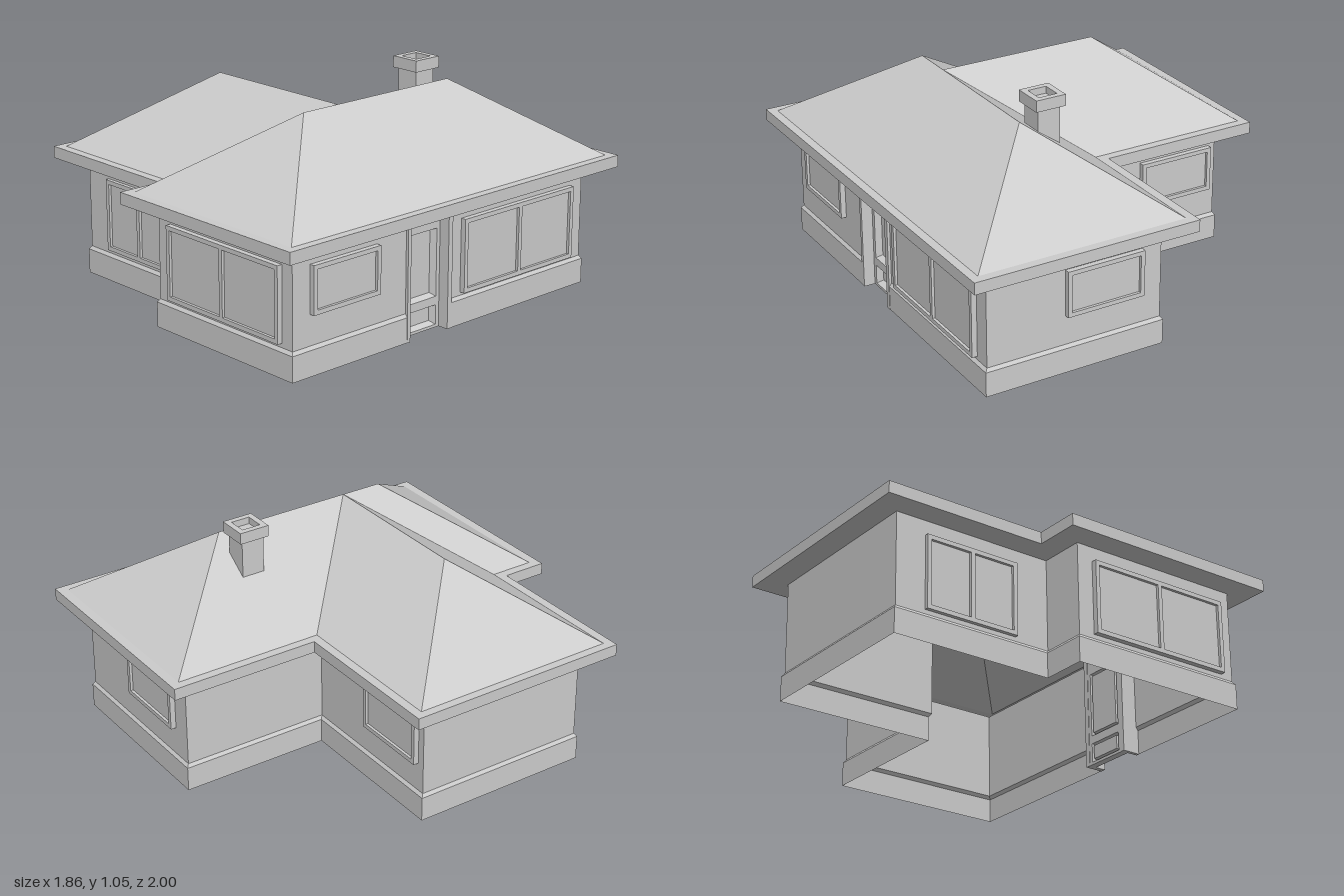
import * as THREE from 'three';

const plaster = new THREE.MeshStandardMaterial({ color: 0xcccccc, side: THREE.DoubleSide });
plaster.name = 'pale grey';

function add(parent, name, geometry, x = 0, y = 0, z = 0) {
  const mesh = new THREE.Mesh(geometry, plaster);
  mesh.name = name;
  mesh.position.set(x, y, z);
  parent.add(mesh);
  return mesh;
}

// Flat-sided geometry from polygons, each fanned from its first corner
function polygons(faces) {
  const pos = [];
  for (const f of faces)
    for (let i = 1; i < f.length - 1; i++) pos.push(...f[0], ...f[i], ...f[i + 1]);
  const g = new THREE.BufferGeometry();
  g.setAttribute('position', new THREE.Float32BufferAttribute(pos, 3));
  g.computeVertexNormals();
  return g;
}

// Skin between successive rings of points
function loft(rings, closed) {
  const faces = [];
  for (let r = 0; r < rings.length - 1; r++) {
    const a = rings[r], b = rings[r + 1], n = a.length;
    for (let i = 0; i < (closed ? n : n - 1); i++) {
      const j = (i + 1) % n;
      faces.push([a[i], a[j], b[j], b[i]]);
    }
  }
  return polygons(faces);
}

// T-shaped plan, inset by d from the eaves edge
function plan(d, y) {
  const e = 0.925 - d, w = -0.93 + d, m = -0.155 + d, z = 1 - d, n = -0.29 + d, s = 0.787 - d;
  return [[e, -z], [m, -z], [m, n], [w, n], [w, s], [m, s], [m, z], [e, z]].map(([x, q]) => [x, y, q]);
}

// The same plan as an open path, interrupted by the doorway
function wallPath(d, y) {
  const e = 0.925 - d;
  return [[e, y, -0.03], ...plan(d, y), [e, y, 0.24]];
}

function rectPoints(x0, x1, y0, y1, z = 0) {
  return [[x0, y0, z], [x1, y0, z], [x1, y1, z], [x0, y1, z]];
}

// Rectangular panel with rectangular openings
function framePanel(outer, holes, depth) {
  const points = r => rectPoints(...r).map(p => new THREE.Vector2(p[0], p[1]));
  const shape = new THREE.Shape(points(outer));
  for (const h of holes) shape.holes.push(new THREE.Path(points(h)));
  return new THREE.ExtrudeGeometry(shape, { depth, bevelEnabled: false });
}

function addWindow(parent, name, x, z, turn, w, y0, y1, panes) {
  const g = new THREE.Group();
  g.name = name;
  g.position.set(x, 0, z);
  g.rotation.y = turn;
  const t = 0.02, pw = (w - t * (panes + 1)) / panes, holes = [];
  for (let i = 0; i < panes; i++) {
    const left = -w / 2 + t + i * (pw + t);
    holes.push([left, left + pw, y0 + t, y1 - t]);
    add(g, 'pane', new THREE.BoxGeometry(pw, y1 - y0 - 2 * t, 0.008), left + pw / 2, (y0 + y1) / 2, 0.008);
  }
  add(g, 'windowFrame', framePanel([-w / 2, w / 2, y0, y1], holes, 0.025));
  parent.add(g);
}

function addDoor(parent) {
  const g = new THREE.Group();
  g.name = 'door';
  g.position.set(0.735, 0, 0.108);
  g.rotation.y = Math.PI / 2;
  const holes = [[-0.094, 0.094, 0.142, 0.452], [-0.094, 0.094, 0.013, 0.103]];
  add(g, 'doorLeaf', framePanel([-0.115, 0.115, 0, 0.555], holes, 0.035));
  // Sloping surround and sunken panel in each opening
  for (const [x0, x1, y0, y1] of holes) {
    const b = 0.013;
    add(g, 'panelBevel', loft([
      rectPoints(x0, x1, y0, y1, 0.035),
      rectPoints(x0 + b, x1 - b, y0 + b, y1 - b, 0.006)], true));
    add(g, 'doorPanel', new THREE.BoxGeometry(x1 - x0 - 2 * b, y1 - y0 - 2 * b, 0.006), 0, (y0 + y1) / 2, 0.003);
  }
  // Jambs and lintel lining the recess
  for (const [x, w] of [[-0.123, 0.018], [0.1255, 0.025]])
    add(g, 'doorJamb', new THREE.BoxGeometry(w, 0.555, 0.09), x, 0.2775, 0.043);
  add(g, 'doorLintel', new THREE.BoxGeometry(0.27, 0.008, 0.08), 0, 0.556, 0.038);
  parent.add(g);
}

function roofGeometry() {
  const e = 0.61, r = 0.965, x0 = -0.113, x1 = 0.885, xr = 0.387, z = 0.957;
  const NW = [x0, e, -z], NE = [x1, e, -z], SE = [x1, e, z], SW = [x0, e, z];
  const N = [xr, r, -0.435], S = [xr, r, 0.435], J = [xr, r, 0.238], W = [-0.39, r, 0.238];
  const V1 = [x0, e, -0.248], V2 = [x0, e, 0.745], W1 = [-0.89, e, -0.248], W2 = [-0.89, e, 0.745];
  return polygons([
    [SE, NE, N, S], [NE, NW, N], [SW, SE, S],      // main hips
    [NW, V1, J, N], [V2, SW, S, J],                // main slopes beside the wing
    [V1, W1, W, J], [W2, V2, J, W], [W1, W2, W],   // wing
  ]);
}

export function createModel() {
  const house = new THREE.Group();
  house.name = 'bungalow';

  // Plinth with sloped top, and walls, open underneath
  const skin = (path, profile, closed) => loft(profile.map(([d, y]) => path(d, y)), closed);
  add(house, 'plinth', skin(wallPath, [[0.104, 0], [0.104, 0.115], [0.115, 0.13]], false));
  add(house, 'walls', skin(wallPath, [[0.115, 0.13], [0.115, 0.555]], false));

  // Soffit, fascia and hipped roof
  add(house, 'eaves', skin(plan, [[0.115, 0.555], [0, 0.555], [0, 0.61], [0.045, 0.61]], true));
  add(house, 'roof', roofGeometry());

  // Chimney with a hollow cap
  add(house, 'chimneyShaft', new THREE.BoxGeometry(0.11, 0.3, 0.11), 0.243, 0.87, -0.382);
  const c = 0.0725, f = 0.045;
  const cap = add(house, 'chimneyCap', framePanel([-c, c, -c, c], [[-f, f, -f, f]], 0.053), 0.243, 0.999, -0.382);
  cap.rotation.x = -Math.PI / 2;

  // Windows
  const q = Math.PI / 2;
  addWindow(house, 'wingFrontWindow', -0.44, 0.665, 0, 0.46, 0.15, 0.488, 2);
  addWindow(house, 'mainFrontWindow', 0.393, 0.885, 0, 0.71, 0.15, 0.488, 2);
  addWindow(house, 'sideLargeWindow', 0.81, -0.45, q, 0.71, 0.145, 0.482, 2);
  addWindow(house, 'sideSmallWindow', 0.81, 0.6, q, 0.378, 0.267, 0.482, 1);
  addWindow(house, 'mainBackWindow', 0.245, -0.885, 2 * q, 0.378, 0.267, 0.482, 1);
  addWindow(house, 'wingBackWindow', -0.59, -0.175, 2 * q, 0.378, 0.267, 0.482, 1);

  addDoor(house);
  return house;
}
